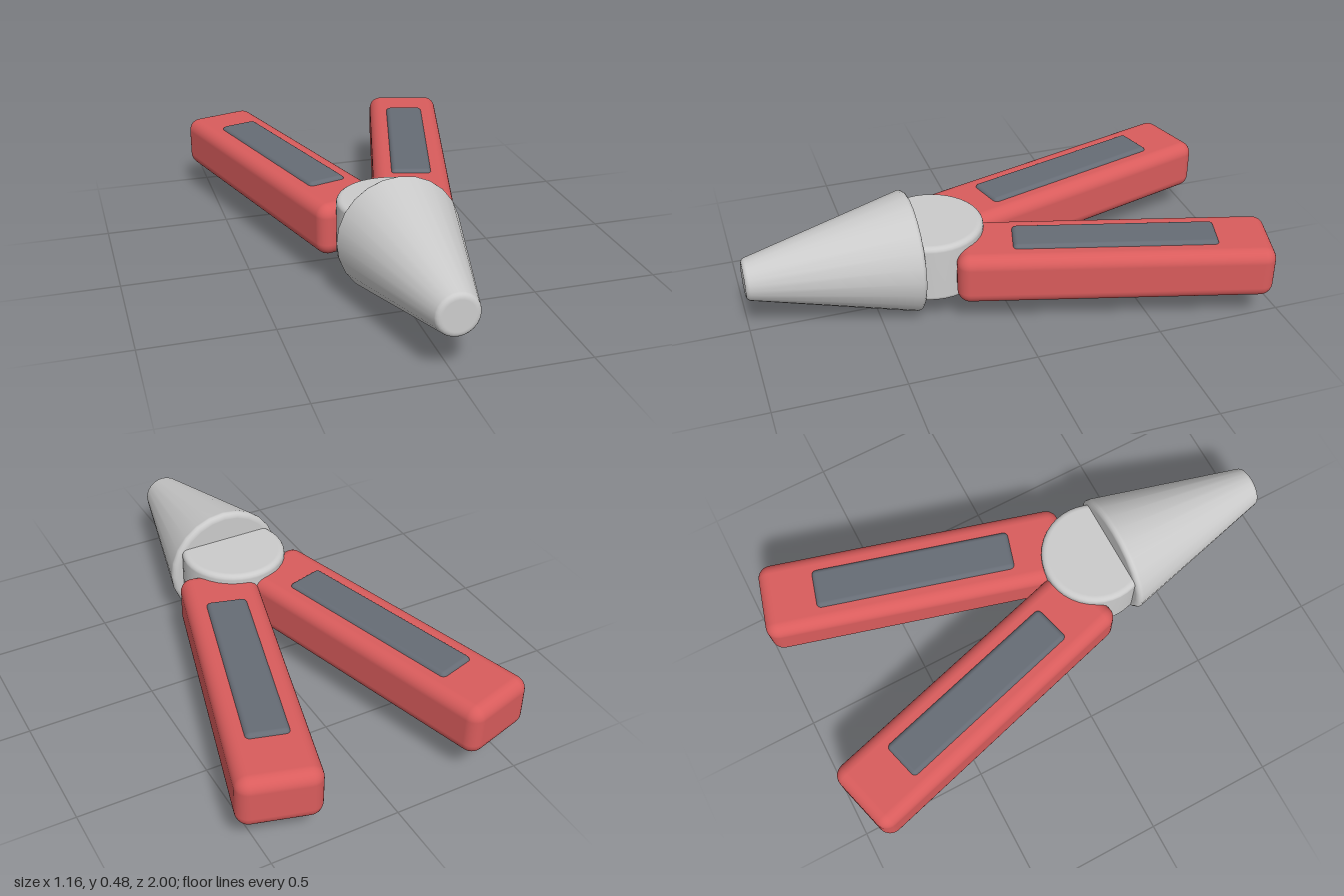
import * as THREE from 'three';
import { RoundedBoxGeometry } from 'three/addons/geometries/RoundedBoxGeometry.js';

const grey = new THREE.MeshStandardMaterial({ color: 0xcccccc });
const red = new THREE.MeshStandardMaterial({ color: 0xd95c5c });
const slate = new THREE.MeshStandardMaterial({ color: 0x666c75 });

function add(parent, name, geometry, material) {
  const mesh = new THREE.Mesh(geometry, material);
  mesh.name = name;
  parent.add(mesh);
  return mesh;
}

// Closed solid of revolution with softened rims, from y = 0 to y = h
function turned(rBottom, rTop, h, bevel, sides) {
  const pts = [new THREE.Vector2(0, 0), new THREE.Vector2(rBottom - bevel - 0.004, 0)];
  const slope = Math.atan2(rBottom - rTop, h);
  const corner = (r, y, from, to) => {
    for (let i = 0; i <= 4; i++) {
      const a = from + (to - from) * i / 4;
      pts.push(new THREE.Vector2(r + bevel * Math.cos(a), y + bevel * Math.sin(a)));
    }
  };
  corner(rBottom - bevel, bevel, -Math.PI / 2, slope);
  corner(rTop - bevel, h - bevel, slope, Math.PI / 2);
  pts.push(new THREE.Vector2(rTop - bevel - 0.004, h), new THREE.Vector2(0, h));
  return new THREE.LatheGeometry(pts, sides);
}

export function createModel() {
  const model = new THREE.Group();
  model.name = 'model';

  // Tapered nose pointing forward
  const nose = add(model, 'nose', turned(0.239, 0.083, 0.655, 0.02, 24), grey);
  nose.rotation.x = Math.PI / 2;
  nose.position.set(0, 0.239, 0.345);

  // Round pivot behind the nose
  const pivot = add(model, 'pivot', turned(0.208, 0.208, 0.24, 0.02, 40), grey);
  pivot.position.set(0, 0.122, 0.272);

  // Two splayed handles, each with a grip pad showing above and below
  for (const side of [-1, 1]) {
    const handle = new THREE.Group();
    handle.name = side > 0 ? 'leftHandle' : 'rightHandle';
    add(handle, 'handleBar', new RoundedBoxGeometry(0.305, 0.208, 1.21, 4, 0.05), red);
    add(handle, 'gripPad', new RoundedBoxGeometry(0.16, 0.234, 0.785, 4, 0.02), slate);
    handle.position.set(side * 0.278, 0.224, -0.384);
    handle.rotation.y = -side * THREE.MathUtils.degToRad(15.8);
    model.add(handle);
  }
  return model;
}
